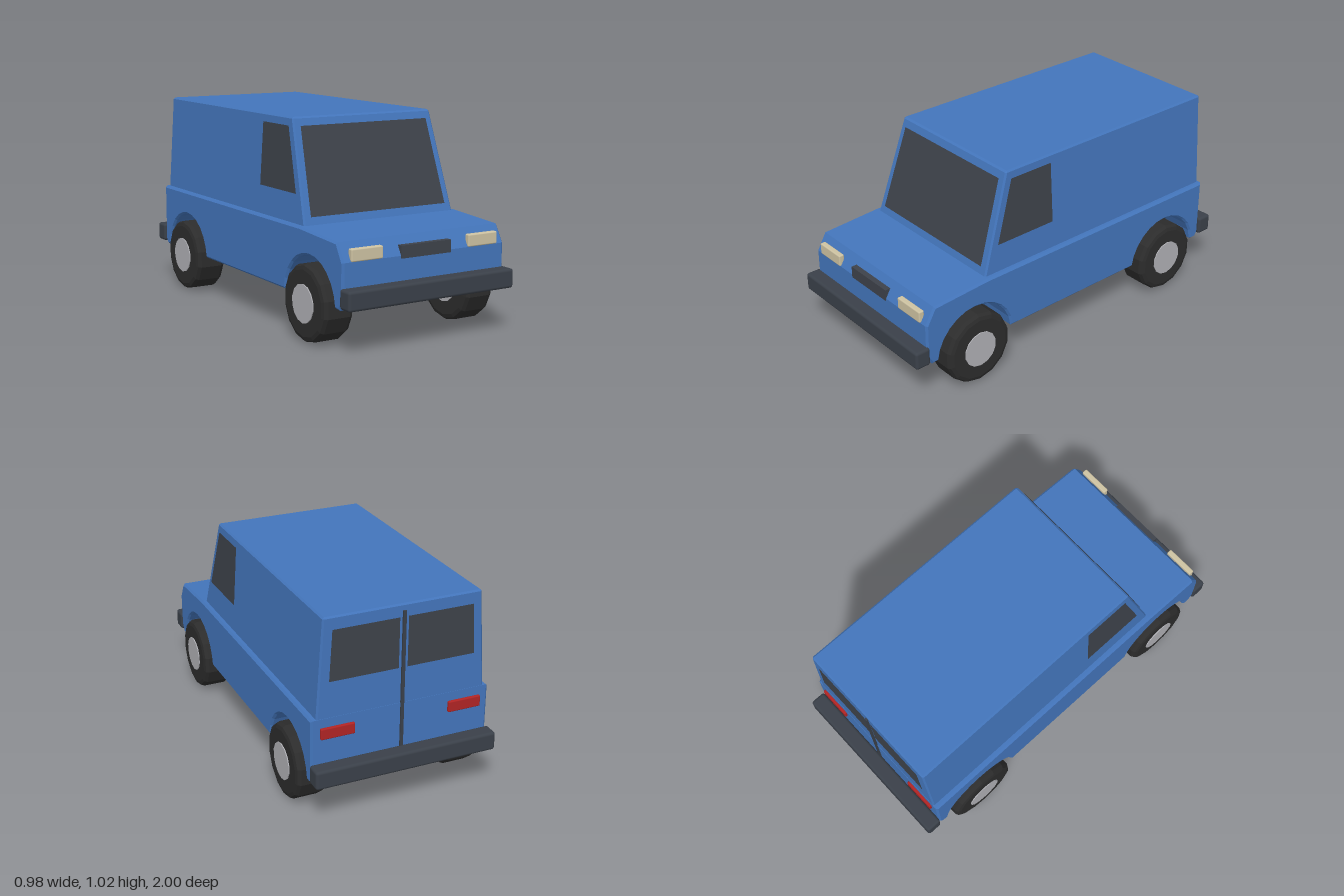
import * as THREE from 'three';
import { RoundedBoxGeometry } from 'three/addons/geometries/RoundedBoxGeometry.js';
import { ConvexGeometry } from 'three/addons/geometries/ConvexGeometry.js';

const mat = (name, color, extra = {}) => {
  const m = new THREE.MeshStandardMaterial({ color, ...extra });
  m.name = name;
  return m;
};

export function createModel() {
  const van = new THREE.Group();
  van.name = 'van';
  const paint = mat('bluePaint', 0x4375bb, { flatShading: true });
  const glass = mat('darkGlass', 0x3d424a, { side: THREE.DoubleSide });
  const trim = mat('darkTrim', 0x3a4049);
  const rubber = mat('tyreRubber', 0x2c2c2c, { flatShading: true });
  const metal = mat('hubMetal', 0xb0b0b5, { flatShading: true });
  const cream = mat('headlightCream', 0xcdc2a2);
  const red = mat('tailLightRed', 0xb02424);

  const add = (name, geo, material, x = 0, y = 0, z = 0, parent = van) => {
    const m = new THREE.Mesh(geo, material);
    m.name = name;
    m.position.set(x, y, z);
    parent.add(m);
    return m;
  };
  const rbox = (w, h, d, r) => new RoundedBoxGeometry(w, h, d, 2, r);

  // Lower body: side profile (z, y) with wheel arches, extruded across x
  const axleZ = 0.64, axleY = 0.187, archR = 0.222;
  const profile = [[-0.918, 0.53], [-0.918, 0.23], [-0.9, 0.203], [-0.867, 0.203]];
  const arch = (cz) => {
    for (let i = 0; i <= 12; i++) {
      const a = Math.PI - 0.09 - ((Math.PI - 0.18) * i) / 12;
      profile.push([cz + archR * Math.cos(a), axleY + archR * Math.sin(a)]);
    }
  };
  arch(-axleZ);
  arch(axleZ);
  profile.push([0.9, 0.203], [0.93, 0.25], [0.93, 0.425], [0.88, 0.511], [0.56, 0.53]);
  const bevel = 0.01;
  const lower = new THREE.ExtrudeGeometry(
    new THREE.Shape(profile.map(([z, y]) => new THREE.Vector2(z, y))),
    { depth: 0.908 - 2 * bevel, bevelThickness: bevel, bevelSize: bevel, bevelOffset: -bevel, bevelSegments: 1 }
  );
  lower.translate(0, 0, -0.454 + bevel).rotateY(-Math.PI / 2);
  add('lowerBody', lower, paint);

  // Cabin: tapered box with chamfered corners
  const yB = 0.52, yT = 1.022, xB = 0.428, xT = 0.396, zBack = -0.916;
  const frontZ = (y) => 0.56 - ((y - 0.53) * 0.16) / 0.492;
  const sideX = (y) => xB - ((y - 0.53) * (xB - xT)) / 0.492;
  const c = 0.008, pts = [];
  for (const s of [-1, 1]) {
    for (const front of [true, false]) {
      const ring = (y, dx, dz) =>
        pts.push(new THREE.Vector3(s * (sideX(y) - dx), y, front ? frontZ(y) - dz : zBack + dz));
      for (const y of [yB, yT - c]) {
        ring(y, c, 0);
        ring(y, 0, c);
      }
      ring(yT, c, c);
    }
  }
  add('cabin', new ConvexGeometry(pts), paint);

  // Thin glass pane from four corners
  const pane = (name, corners) => {
    const g = new THREE.BufferGeometry();
    g.setAttribute('position', new THREE.Float32BufferAttribute(corners.flat(), 3));
    g.setIndex([0, 1, 2, 0, 2, 3]);
    g.computeVertexNormals();
    add(name, g, glass);
  };
  const off = 0.004;
  const wz = (y) => frontZ(y) + off;
  pane('windshield', [[-0.387, 0.567, wz(0.567)], [0.387, 0.567, wz(0.567)], [0.362, 0.98, wz(0.98)], [-0.362, 0.98, wz(0.98)]]);

  for (const s of [1, -1]) {
    // Corner order flips with the side so that every pane faces outward
    const face = (list) => (s > 0 ? list : list.reverse());
    const side = (y, z) => [s * (sideX(y) + off), y, z];
    pane('sideWindow', face([side(0.67, 0.475), side(0.67, 0.13), side(0.98, 0.13), side(0.98, 0.375)]));
    const zr = zBack - off;
    pane('rearWindow', face([[s * 0.367, 0.71, zr], [s * 0.022, 0.71, zr], [s * 0.022, 0.96, zr], [s * 0.352, 0.96, zr]]));

    // Lamps
    add('headlight', rbox(0.17, 0.06, 0.03, 0.007), cream, s * 0.325, 0.455, 0.921);
    add('tailLight', rbox(0.17, 0.056, 0.02, 0.006), red, s * 0.325, 0.457, -0.921);
  }

  // Grille, rear door gap and bumpers
  add('grille', new THREE.BoxGeometry(0.28, 0.06, 0.03), glass, 0, 0.442, 0.917);
  add('rearDoorGap', new THREE.BoxGeometry(0.016, 0.75, 0.015), trim, 0, 0.615, -0.918);
  for (const s of [1, -1]) {
    add(s > 0 ? 'frontBumper' : 'rearBumper', rbox(0.928, 0.094, 0.082, 0.014), trim, 0, 0.263, s * 0.959);
  }

  // Wheels: 14-sided chamfered tyre with a hub showing on both faces
  const tyreGeo = new THREE.LatheGeometry(
    [[0, -0.081], [0.16, -0.081], [0.178, -0.075], [0.187, -0.058], [0.187, 0.058], [0.178, 0.075], [0.16, 0.081], [0, 0.081]]
      .map(([r, h]) => new THREE.Vector2(r, h)), 14, Math.PI / 14);
  tyreGeo.rotateZ(Math.PI / 2);
  const hubGeo = new THREE.CylinderGeometry(0.093, 0.093, 0.172, 14, 1, false, Math.PI / 14).rotateZ(Math.PI / 2);
  for (const s of [1, -1]) {
    for (const e of [1, -1]) {
      const wheel = new THREE.Group();
      wheel.name = e > 0 ? 'frontWheel' : 'rearWheel';
      wheel.position.set(s * 0.402, axleY, e * axleZ);
      add('tyre', tyreGeo, rubber, 0, 0, 0, wheel);
      add('hub', hubGeo, metal, 0, 0, 0, wheel);
      van.add(wheel);
    }
  }
  return van;
}
